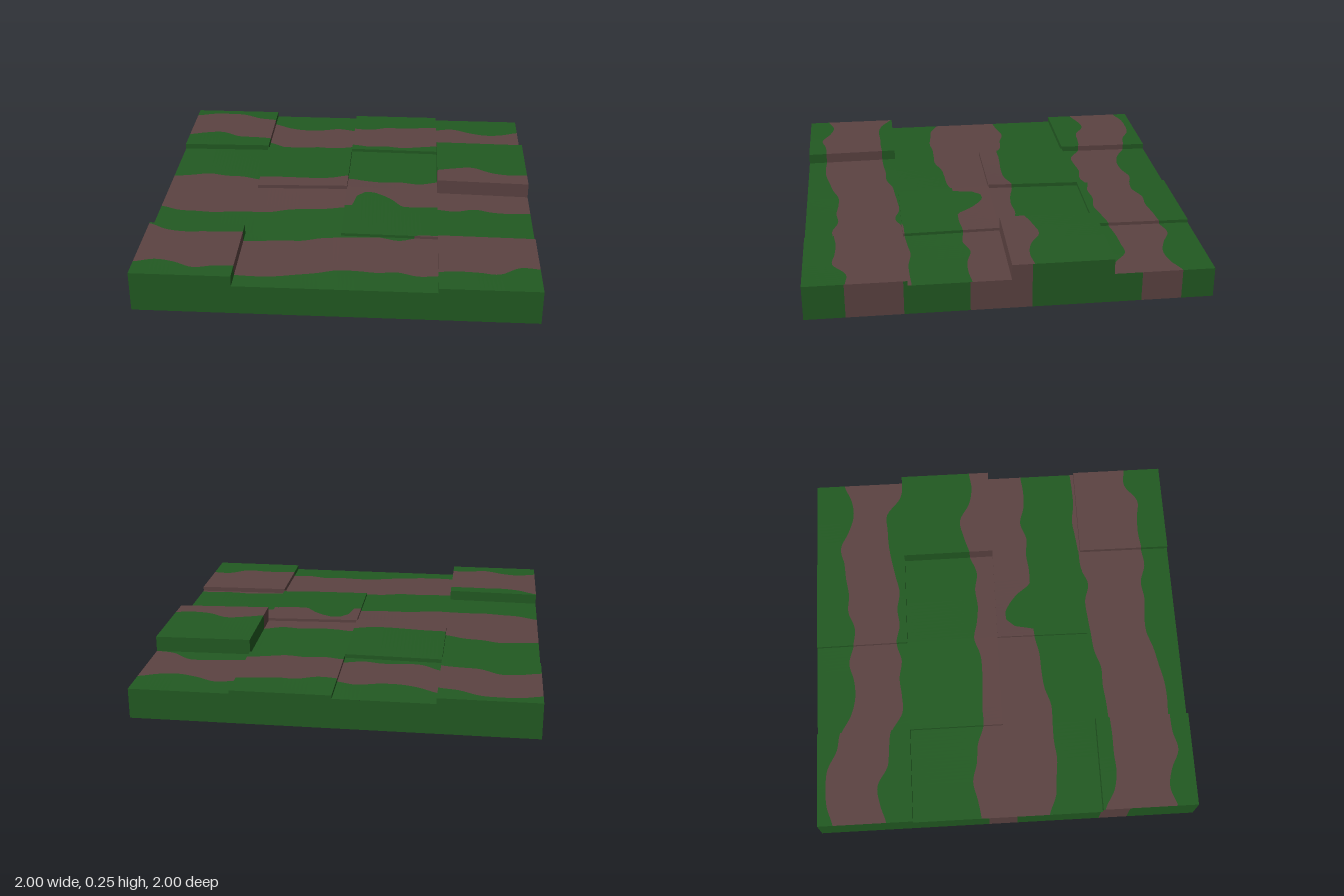
import * as THREE from 'three';

const BASE = 0.155, CELL = 0.5, COLS = 25;

// Height of each tile above the ground, rows from back to front
const LIFT = [
  [0.03, 0, 0.017, 0],
  [0, 0.02, 0, 0.08],
  [0, 0, 0.015, 0],
  [0.055, 0, 0, 0.025],
];

// Edges of the three earth bands: z sampled every 0.1 from x = -1 to 1
const EDGES = [
  [-.92, -.95, -.955, -.945, -.895, -.875, -.82, -.795, -.80, -.825, -.80, -.79, -.825, -.82, -.835, -.845, -.865, -.82, -.79, -.80, -.84],
  [-.64, -.67, -.68, -.625, -.615, -.60, -.54, -.54, -.55, -.535, -.56, -.54, -.55, -.535, -.555, -.575, -.59, -.595, -.595, -.52, -.50],
  [-.14, -.155, -.175, -.15, -.14, -.105, -.105, -.10, -.095, -.10, -.13, -.11, -.10, -.11, -.095, -.13, -.16, -.175, -.12, -.10, -.11],
  [.22, .26, .27, .28, .27, .27, .27, .24, .23, .225, .205, .20, .20, .20, .20, .19, .20, .17, .195, .20, .19],
  [.51, .565, .585, .58, .58, .575, .57, .56, .56, .53, .52, .51, .505, .53, .495, .49, .48, .47, .485, .485, .48],
  [.89, .86, .88, .925, .905, .90, .905, .90, .88, .86, .83, .83, .84, .83, .86, .85, .84, .845, .855, .79, .795],
];
// Band limits on the outer left and right walls
const SIDE = { 1: [-.84, -.64, -.1, .2, .52, .8], '-1': [-.1, .05, .49, .64] };
// Grassy bulge into the middle band
const BULGE = [[.05, .2], [.06, .1], [.1, .055], [.15, .05], [.2, .08], [.25, .12], [.31, .2]];

function catmull(list, x) {
  const t = Math.min(Math.max((x + 1) * 10, 0), 19.9999), i = Math.floor(t), f = t - i;
  const p = k => list[Math.min(Math.max(k, 0), 20)];
  const a = p(i - 1), b = p(i), c = p(i + 1), d = p(i + 2);
  return b + 0.5 * f * (c - a + f * (2 * a - 5 * b + 4 * c - d + f * (3 * (b - c) + d - a)));
}

function bandEdges(x) {
  const z = EDGES.map(e => catmull(e, x));
  for (let i = 0; i < BULGE.length - 1; i++) {
    const [xa, za] = BULGE[i], [xb, zb] = BULGE[i + 1];
    if (x >= xa && x <= xb) z[3] = za + (zb - za) * (x - xa) / (xb - xa);
  }
  return z;
}

// Gentle rise of the ground towards the middle
const ground = (x, z) => BASE + 0.02 * (1 - Math.abs(x)) * (1 - Math.abs(z));

// Collects quads for two colours and makes a mesh with one group per colour
class Patch {
  constructor() { this.parts = [[], []]; }
  quad(colour, a, b, c, d, flip) {
    const order = flip ? [a, c, b, a, d, c] : [a, b, c, a, c, d];
    order.forEach(p => this.parts[colour].push(...p));
  }
  // Horizontal sheet, split along the band edges
  sheet(x0, x1, z0, z1, height, flip) {
    const n = Math.round((x1 - x0) / CELL * COLS);
    const cuts = x => [z0, ...bandEdges(x).map(z => Math.min(Math.max(z, z0), z1)), z1];
    for (let i = 0; i < n; i++) {
      const xa = x0 + (x1 - x0) * i / n, xb = x0 + (x1 - x0) * (i + 1) / n;
      const a = cuts(xa), b = cuts(xb);
      for (let k = 0; k < a.length - 1; k++) {
        if (a[k + 1] - a[k] + b[k + 1] - b[k] < 1e-6) continue;
        const p = (x, z) => [x, height(x, z), z];
        this.quad(k % 2, p(xa, a[k]), p(xa, a[k + 1]), p(xb, b[k + 1]), p(xb, b[k]), flip);
      }
    }
  }
  // Wall facing +x or -x
  wallX(x, z0, z1, low, high, flip) {
    const edges = SIDE[x] || bandEdges(x);
    const cuts = [z0, ...edges.map(z => Math.min(Math.max(z, z0), z1)), z1];
    for (let k = 0; k < cuts.length - 1; k++) {
      const a = cuts[k], b = cuts[k + 1];
      if (b - a < 1e-6) continue;
      this.quad(k % 2, [x, low(x, a), a], [x, high(x, a), a], [x, high(x, b), b], [x, low(x, b), b], flip);
    }
  }
  // Wall facing +z or -z
  wallZ(z, x0, x1, low, high, flip) {
    for (let i = 0; i < COLS; i++) {
      const a = x0 + (x1 - x0) * i / COLS, b = x0 + (x1 - x0) * (i + 1) / COLS;
      const colour = bandEdges((a + b) / 2).filter(e => e < z).length % 2;
      this.quad(colour, [a, low(a, z), z], [b, low(b, z), z], [b, high(b, z), z], [a, high(a, z), z], flip);
    }
  }
  walls(x0, x1, z0, z1, low, high) {
    this.wallX(x1, z0, z1, low, high, false);
    this.wallX(x0, z0, z1, low, high, true);
    this.wallZ(z1, x0, x1, low, high, false);
    this.wallZ(z0, x0, x1, low, high, true);
  }
  mesh(name, materials) {
    const geometry = new THREE.BufferGeometry();
    const [g, e] = this.parts;
    geometry.setAttribute('position', new THREE.Float32BufferAttribute(g.concat(e), 3));
    geometry.addGroup(0, g.length / 3, 0);
    geometry.addGroup(g.length / 3, e.length / 3, 1);
    geometry.computeVertexNormals();
    const mesh = new THREE.Mesh(geometry, materials);
    mesh.name = name;
    return mesh;
  }
}

export function createModel() {
  const grass = new THREE.MeshStandardMaterial({ color: 0x225a22 });
  grass.name = 'grass green';
  const earth = new THREE.MeshStandardMaterial({ color: 0x5c4342 });
  earth.name = 'earth brown';
  const materials = [grass, earth];
  const model = new THREE.Group();
  model.name = 'terrainBlock';

  // Base slab: underside and outer walls
  const floor = () => 0;
  const slab = new Patch();
  slab.sheet(-1, 1, -1, 1, floor, true);
  slab.walls(-1, 1, -1, 1, floor, ground);
  model.add(slab.mesh('baseSlab', materials));

  // Ground and raised tiles
  LIFT.forEach((row, r) => row.forEach((lift, c) => {
    const x0 = -1 + c * CELL, z0 = -1 + r * CELL;
    const top = (x, z) => ground(x, z) + lift;
    const tile = new Patch();
    tile.sheet(x0, x0 + CELL, z0, z0 + CELL, top, false);
    if (lift > 0) tile.walls(x0, x0 + CELL, z0, z0 + CELL, ground, top);
    model.add(tile.mesh(lift > 0 ? 'raisedTile' : 'groundTile', materials));
  }));
  return model;
}
